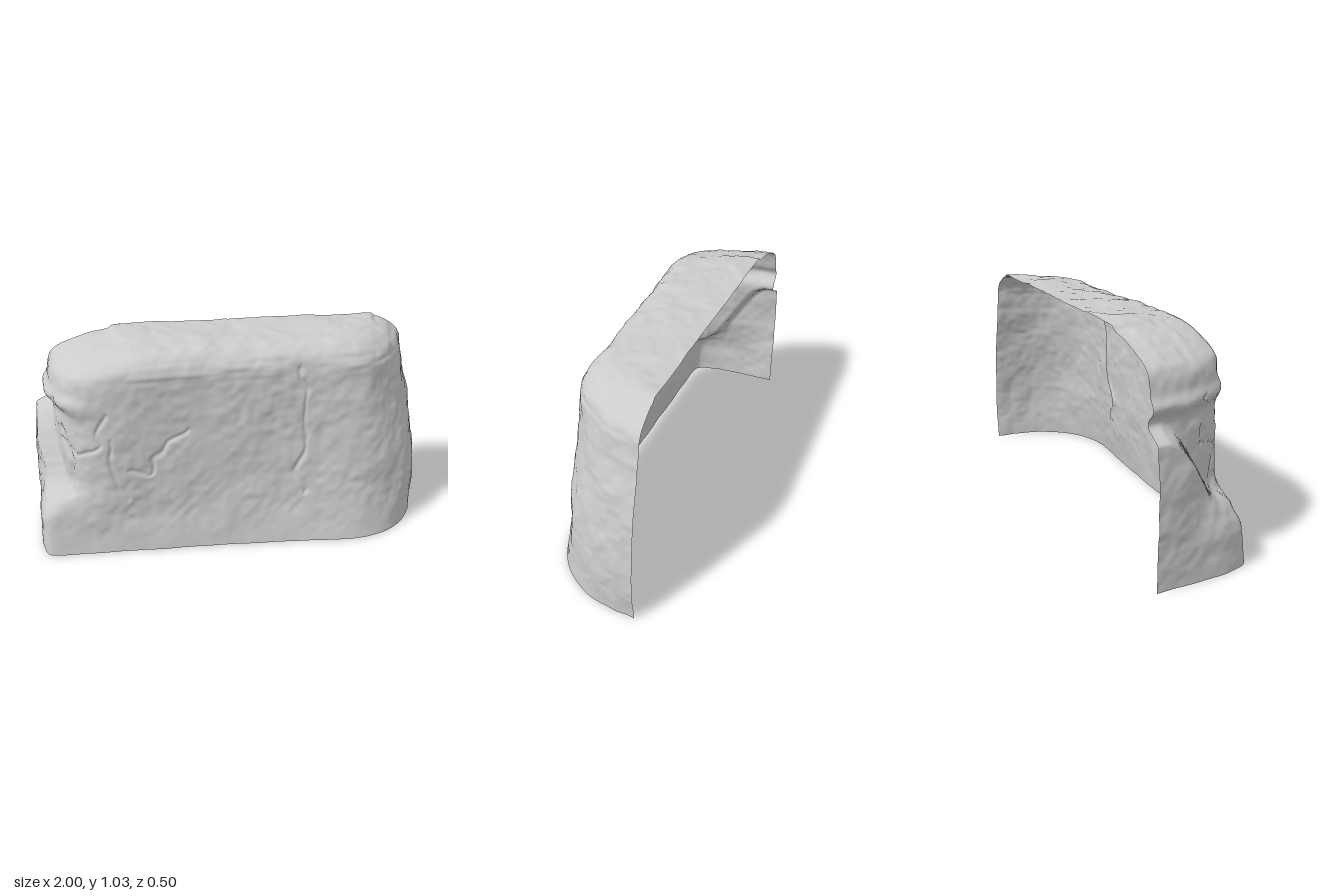
import * as THREE from 'three';

const { lerp, clamp, smoothstep } = THREE.MathUtils;

// Horizontal sections: [height, left reach, right reach, front z, blend from base to top outline]
const SECTIONS = [
  [0, 0.91, 0.98, 0.247, 0], [0.1, 0.91, 0.985, 0.232, 0.1], [0.2, 0.91, 0.99, 0.22, 0.2],
  [0.28, 0.91, 0.99, 0.215, 0.3], [0.36, 0.91, 0.985, 0.212, 0.4], [0.48, 0.91, 0.97, 0.21, 0.55],
  [0.6, 0.905, 0.945, 0.208, 0.7], [0.69, 0.9, 0.925, 0.207, 0.8], [0.755, 0.94, 0.908, 0.206, 0.88],
  [0.8, 0.915, 0.9, 0.206, 0.94], [0.88, 0.89, 0.88, 0.205, 1], [0.93, 0.82, 0.86, 0.195, 1],
  [0.97, 0.72, 0.82, 0.165, 1], [1.0, 0.6, 0.75, 0.115, 1],
];

// Plan outlines from left rear, round the front, to right rear: [x share, depth share]
const BASE = [[-1, 0], [-0.995, 0.4], [-0.98, 0.75], [-0.94, 0.92], [-0.84, 0.94], [-0.4, 0.95], [0, 0.96],
  [0.35, 0.98], [0.61, 1], [0.8, 0.88], [0.91, 0.68], [0.97, 0.4], [1, 0]];
const TOP = [[-1, 0], [-0.98, 0.33], [-0.92, 0.66], [-0.84, 0.87], [-0.71, 0.96], [-0.4, 0.96], [0, 0.92],
  [0.35, 0.89], [0.68, 0.87], [0.79, 0.75], [0.89, 0.53], [0.96, 0.27], [1, 0]];

// Cracks on the front face as x, y polylines
const CRACKS = [
  [[0.3, 0.9], [0.32, 0.66], [0.33, 0.5], [0.27, 0.38], [0.32, 0.26]],
  [[-0.87, 0.8], [-0.85, 0.62], [-0.8, 0.45], [-0.82, 0.3]],
  [[-0.62, 0.72], [-0.68, 0.64], [-0.67, 0.55], [-0.78, 0.51], [-0.86, 0.56]],
  [[-0.61, 0.6], [-0.6, 0.45], [-0.56, 0.28]],
  [[-0.25, 0.61], [-0.36, 0.56], [-0.41, 0.48], [-0.43, 0.4], [-0.52, 0.44]],
];

const BACK = -0.25, NU = 290, NV = 160;

// Smooth value noise from an integer hash
function hash(x, y, z) {
  let h = Math.imul(x, 374761393) + Math.imul(y, 668265263) + Math.imul(z, 1274126177);
  h = Math.imul(h ^ (h >>> 13), 1274126177);
  return ((h ^ (h >>> 16)) >>> 0) / 2147483648 - 1;
}
function noise(x, y, z) {
  const i = Math.floor(x), j = Math.floor(y), k = Math.floor(z);
  const s = (t) => t * t * (3 - 2 * t);
  const a = s(x - i), b = s(y - j), c = s(z - k);
  const row = (dj, dk) => lerp(hash(i, j + dj, k + dk), hash(i + 1, j + dj, k + dk), a);
  return lerp(lerp(row(0, 0), row(1, 0), b), lerp(row(0, 1), row(1, 1), b), c);
}

// Slab standing out from the left end, its upper ledge falling towards the front
function slabOffset({ x, y, z }) {
  const ledge = lerp(0.66, 0.3, smoothstep(z, -0.2, 0.12)) + 0.02 * noise(x * 4, 2, z * 12);
  return 0.085 * smoothstep(-x, 0.74, 0.86) * (1 - smoothstep(y, ledge - 0.03, ledge + 0.03));
}

// Depth of the crack groove at a point of the front face
function crackDepth(x, y) {
  let best = 1;
  for (const line of CRACKS) {
    for (let i = 0; i + 1 < line.length; i++) {
      const [ax, ay] = line[i], dx = line[i + 1][0] - ax, dy = line[i + 1][1] - ay;
      const t = clamp(((x - ax) * dx + (y - ay) * dy) / (dx * dx + dy * dy), 0, 1);
      best = Math.min(best, Math.hypot(x - ax - t * dx, y - ay - t * dy));
    }
  }
  return 0.01 * Math.exp(-((best / 0.009) ** 2));
}

// Rock relief: broad lumps, fine grain, layered ledges near the top and weathered right corner
function relief(p, n) {
  const { x, y, z } = p;
  let d = 0.006 * noise(x * 5, y * 5, z * 5 + 9) + 0.005 * noise(x * 13, y * 11, z * 13)
    + 0.003 * noise(x * 30, y * 30, z * 30);
  d *= lerp(0.4, 1, smoothstep(y, 0, 0.2));
  d += smoothstep(y, 0.82, 0.94) * (1 - Math.abs(n.y)) * 0.008 * noise(x * 7, y * 50, z * 7);
  d -= smoothstep(n.x, 0.25, 0.7) * 0.012 * Math.abs(noise(x * 9, y * 4, z * 9 + 3));
  if (n.z > 0.4) {
    d -= crackDepth(x + 0.022 * noise(x * 14, y * 14, 5), y + 0.022 * noise(x * 14, y * 14, 8));
  }
  return d;
}

// Lofted shell, open at the back and underneath
function shellGeometry() {
  const rings = SECTIONS.map(([y, left, right, front, blend]) => {
    // The left front corner steps in sharply above the foot of the slab
    const cornerBlend = smoothstep(y, 0.16, 0.38);
    const pts = BASE.map(([bx, bz], i) => {
      const k = i < 5 ? cornerBlend : blend;
      const s = lerp(bx, TOP[i][0], k), w = lerp(bz, TOP[i][1], k);
      return new THREE.Vector3(s * (s < 0 ? left : right), y, BACK + w * (front - BACK));
    });
    return new THREE.CatmullRomCurve3(pts).getSpacedPoints(NU);
  });
  // Top surface runs back from the last ring to the rear edge
  const rim = rings[rings.length - 1];
  for (const [t, y] of [[0.3, 1.014], [0.65, 1.018], [1, 1.018]]) {
    rings.push(rim.map((p) => new THREE.Vector3(p.x * (1 - 0.1 * t), y, lerp(p.z, BACK, t))));
  }

  const position = [], index = [];
  for (let u = 0; u <= NU; u++) {
    const rib = new THREE.CatmullRomCurve3(rings.map((r) => r[u])).getSpacedPoints(NV);
    for (const p of rib) position.push(p.x - slabOffset(p), p.y, p.z);
  }
  for (let u = 0; u < NU; u++) {
    for (let v = 0; v < NV; v++) {
      const a = u * (NV + 1) + v, b = a + NV + 1;
      index.push(a, b, b + 1, a, b + 1, a + 1);
    }
  }
  const geo = new THREE.BufferGeometry();
  geo.setAttribute('position', new THREE.Float32BufferAttribute(position, 3));
  geo.setIndex(index);
  geo.computeVertexNormals();

  // Displace along the normals, keeping the rear cut and the base flat
  const pos = geo.attributes.position, nor = geo.attributes.normal;
  const p = new THREE.Vector3(), n = new THREE.Vector3();
  for (let i = 0; i < pos.count; i++) {
    p.fromBufferAttribute(pos, i);
    n.fromBufferAttribute(nor, i);
    const u = Math.floor(i / (NV + 1)), v = i % (NV + 1);
    p.addScaledVector(n, relief(p, n));
    p.z = u === 0 || u === NU || v === NV ? BACK : Math.max(p.z, BACK);
    p.y = v === 0 ? 0 : Math.max(p.y, 0);
    pos.setXYZ(i, p.x, p.y, p.z);
  }
  geo.computeVertexNormals();
  return geo;
}

export function createModel() {
  const group = new THREE.Group();
  group.name = 'rock';
  const material = new THREE.MeshStandardMaterial({ color: 0xcccccc, side: THREE.DoubleSide });
  const shell = new THREE.Mesh(shellGeometry(), material);
  shell.name = 'rockShell';
  group.add(shell);
  return group;
}
